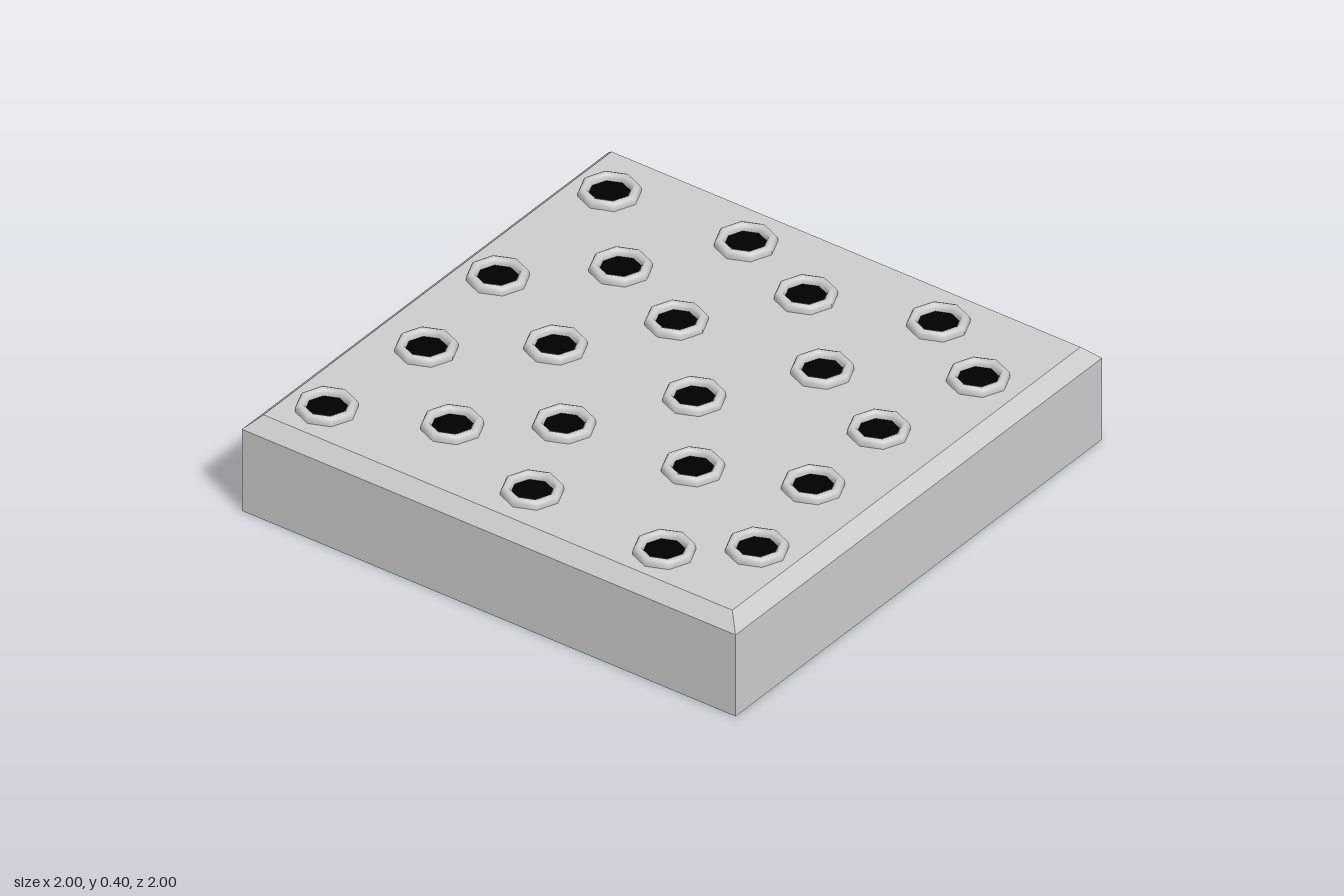
import * as THREE from 'three';

const points = (list) => list.map(([r, y]) => new THREE.Vector2(r, y));

export function createModel() {
  const model = new THREE.Group();
  model.name = 'perforatedPlate';

  const shellMaterial = new THREE.MeshStandardMaterial({
    color: 0xcccccc, flatShading: true, side: THREE.DoubleSide,
  });
  const rimMaterial = new THREE.MeshStandardMaterial({ color: 0xcccccc, side: THREE.DoubleSide });
  const holeMaterial = new THREE.MeshStandardMaterial({ color: 0x000000 });

  // Square shell, open underneath, with a bevelled upper edge
  const corner = Math.SQRT2;
  const shellGeometry = new THREE.LatheGeometry(
    points([[corner, 0], [corner, 0.32], [0.95 * corner, 0.37], [0, 0.37]]), 4,
  ).rotateY(Math.PI / 4).toNonIndexed();
  shellGeometry.computeVertexNormals();
  const shell = new THREE.Mesh(shellGeometry, shellMaterial);
  shell.name = 'baseShell';
  model.add(shell);

  // Rounded eight-sided rim and the dark disc inside it
  const rimGeometry = new THREE.LatheGeometry(points([
    [0.105, 0.37], [0.105, 0.384], [0.099, 0.394], [0.088, 0.399],
    [0.077, 0.394], [0.071, 0.384], [0.071, 0.37],
  ]), 8);
  const discGeometry = new THREE.CircleGeometry(0.08, 8).rotateX(-Math.PI / 2).translate(0, 0.374, 0);

  // Scattered hole positions (x, z)
  const holes = [
    [-0.8, -0.805], [-0.33, -0.75], [0.14, -0.81], [0.75, -0.81],
    [-0.64, -0.415], [-0.07, -0.42], [0.42, -0.52], [0.28, -0.19],
    [0.78, -0.28], [-0.42, -0.125], [-0.79, 0.02], [-0.04, 0.12],
    [0.65, 0.06], [-0.37, 0.36], [0.335, 0.36], [-0.81, 0.57],
    [0.78, 0.5], [-0.62, 0.805], [-0.22, 0.735], [0.165, 0.715], [0.6, 0.795],
  ];
  holes.forEach(([x, z], i) => {
    const hole = new THREE.Group();
    hole.name = `hole${i + 1}`;
    const rim = new THREE.Mesh(rimGeometry, rimMaterial);
    rim.name = 'holeRim';
    const disc = new THREE.Mesh(discGeometry, holeMaterial);
    disc.name = 'holeOpening';
    hole.add(rim, disc);
    hole.position.set(x, 0, z);
    model.add(hole);
  });

  return model;
}
